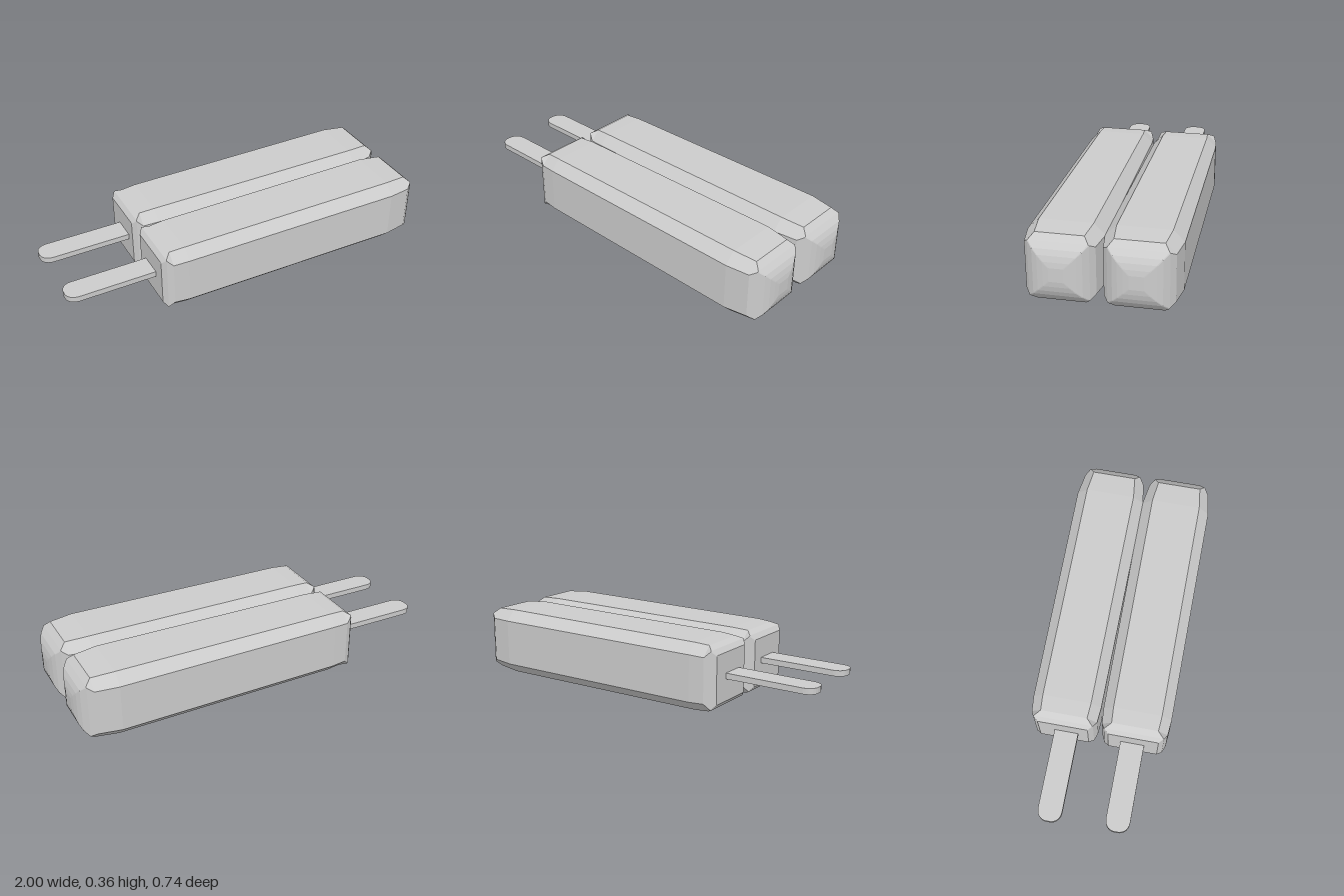
import * as THREE from 'three';

const material = new THREE.MeshStandardMaterial({ color: 0xcccccc, flatShading: true, side: THREE.DoubleSide });

// Cross-sections of a bar: [x, half height, half depth, corner chamfer]
const SECTIONS = [
  [-0.53, 0.125, 0.13, 0.003],
  [-0.51, 0.15, 0.155, 0.004],
  [-0.48, 0.167, 0.17, 0.05],
  [-0.40, 0.172, 0.177, 0.052],
  [0.80, 0.178, 0.185, 0.055],
  [0.92, 0.17, 0.166, 0.05],
  [0.95, 0.143, 0.143, 0.004],
  [0.975, 0.116, 0.116, 0.003],
  [0.988, 0.09, 0.09, 0.003],
  [0.996, 0.062, 0.062, 0.003],
  [1.0, 0.035, 0.035, 0.003],
];

// Chamfered rectangle, counter-clockwise seen from +x
function ring([x, h, d, c]) {
  return [
    [h - c, d], [h, d - c], [h, -d + c], [h - c, -d],
    [-h + c, -d], [-h, -d + c], [-h, d - c], [-h + c, d],
  ].map(([y, z]) => [x, y, z]);
}

function loft(sections) {
  const n = 8, positions = [], index = [];
  for (const s of sections) for (const p of ring(s)) positions.push(...p);
  for (let i = 0; i < sections.length - 1; i++) {
    for (let j = 0; j < n; j++) {
      const a = i * n + j, b = i * n + (j + 1) % n;
      index.push(a, b, a + n, b, b + n, a + n);
    }
  }
  // End caps
  const last = (sections.length - 1) * n;
  for (let j = 1; j < n - 1; j++) {
    index.push(0, j + 1, j);
    index.push(last, last + j, last + j + 1);
  }
  const geometry = new THREE.BufferGeometry();
  geometry.setAttribute('position', new THREE.Float32BufferAttribute(positions, 3));
  geometry.setIndex(index);
  const flat = geometry.toNonIndexed();
  flat.computeVertexNormals();
  return flat;
}

// Flat stick with a rounded outer end
function stickGeometry(tip) {
  const w = 0.062, r = 0.055, root = -0.48;
  const shape = new THREE.Shape();
  shape.moveTo(root, -w);
  shape.lineTo(root, w);
  shape.lineTo(tip + r, w);
  shape.quadraticCurveTo(tip + 0.008, w - 0.004, tip, 0.015);
  shape.lineTo(tip, -0.015);
  shape.quadraticCurveTo(tip + 0.008, -w + 0.004, tip + r, -w);
  shape.closePath();
  const geometry = new THREE.ExtrudeGeometry(shape, { depth: 0.03, bevelEnabled: false, curveSegments: 6 });
  return geometry.rotateX(-Math.PI / 2);
}

function add(parent, name, geometry, y, z) {
  const mesh = new THREE.Mesh(geometry, material);
  mesh.name = name;
  mesh.position.set(0, y, z);
  parent.add(mesh);
}

export function createModel() {
  const model = new THREE.Group();
  model.name = 'twinIcePop';
  const bar = loft(SECTIONS);
  for (const [side, z, stickZ, tip] of [['front', 0.183, 0.18, -0.99], ['back', -0.183, -0.167, -1]]) {
    const half = new THREE.Group();
    half.name = side + 'Half';
    add(half, side + 'IceBar', bar, 0.179, z);
    add(half, side + 'Stick', stickGeometry(tip), 0.168, stickZ);
    model.add(half);
  }
  return model;
}
